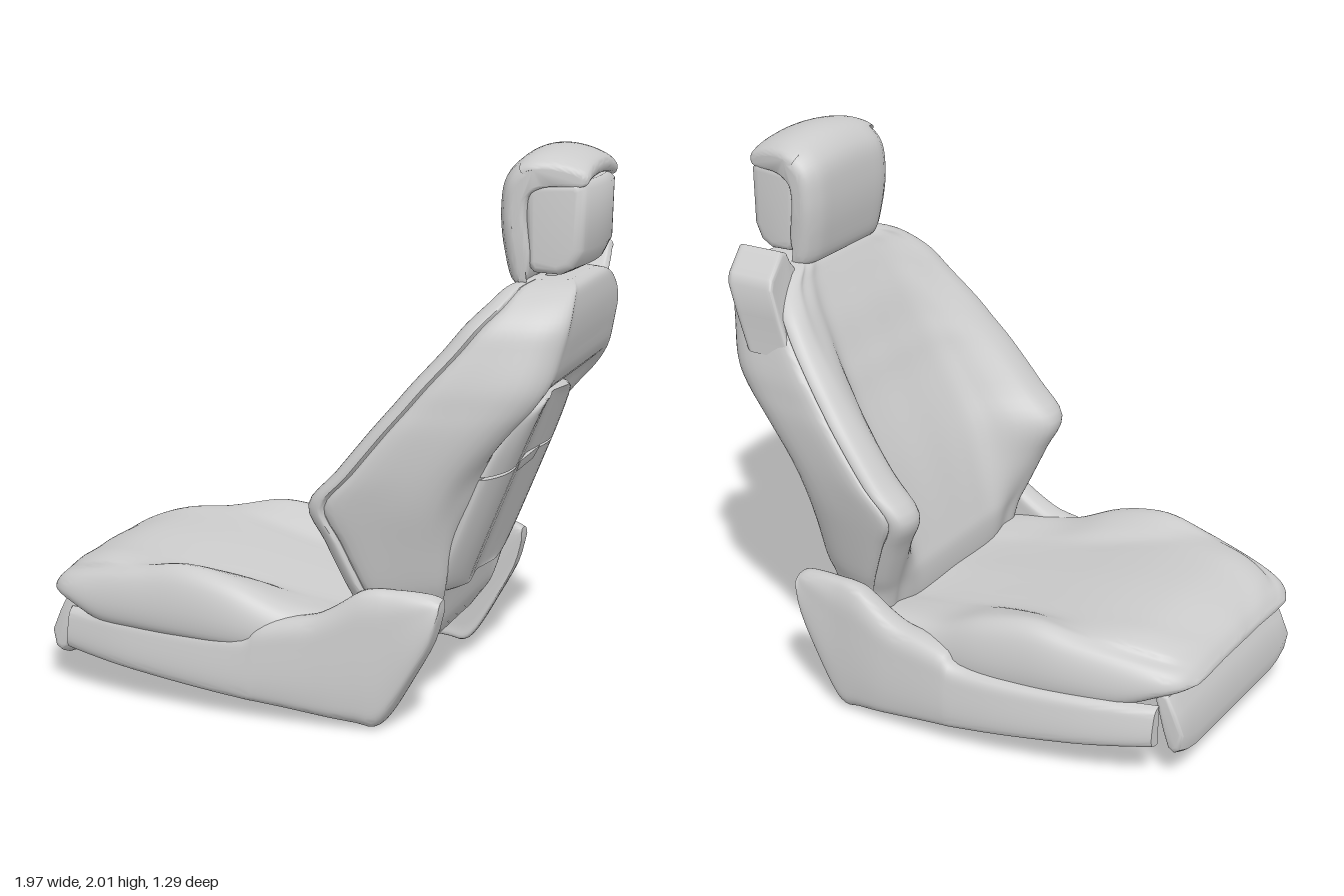
import * as THREE from 'three';
import { toCreasedNormals } from 'three/addons/utils/BufferGeometryUtils.js';

const material = new THREE.MeshStandardMaterial({ color: 0xcccccc, roughness: 0.8 });
const V = (x, y, z) => new THREE.Vector3(x, y, z);
const CENTRE = 0.02; // upholstery sits slightly towards the left

function mesh(name, geometry, crease = 0.7) {
  const m = new THREE.Mesh(toCreasedNormals(geometry, crease), material);
  m.name = name;
  return m;
}

// Cubic interpolation between rows of section measurements
function refine(rows, steps) {
  const out = [];
  const at = (i) => rows[Math.min(Math.max(i, 0), rows.length - 1)];
  for (let i = 0; i < rows.length - 1; i++) {
    for (let s = 0; s < steps; s++) {
      const t = s / steps;
      out.push(at(i).map((b, k) => {
        const a = at(i - 1)[k], c = at(i + 1)[k], d = at(i + 2)[k];
        return b + 0.5 * t * (c - a + t * (2 * a - 5 * b + 4 * c - d + t * (3 * (b - c) + d - a)));
      }));
    }
  }
  out.push(rows[rows.length - 1]);
  return out;
}

// Closed skin through smooth rings, with capped ends and outward faces
function loft(rows, steps, section, detail) {
  const rings = refine(rows, steps).map((row) =>
    new THREE.CatmullRomCurve3(section(row), true).getPoints(detail).slice(0, detail));
  const points = rings.flat();
  const index = [];
  for (let i = 0; i < rings.length - 1; i++) {
    for (let j = 0; j < detail; j++) {
      const a = i * detail + j, b = i * detail + (j + 1) % detail;
      index.push(a, b, a + detail, b, b + detail, a + detail);
    }
  }
  [0, rings.length - 1].forEach((r, end) => {
    const c = points.length;
    points.push(rings[r].reduce((sum, p) => sum.add(p), V(0, 0, 0)).divideScalar(detail));
    for (let j = 0; j < detail; j++) {
      const a = r * detail + j, b = r * detail + (j + 1) % detail;
      if (end) index.push(a, b, c);
      else index.push(b, a, c);
    }
  });
  let volume = 0;
  for (let i = 0; i < index.length; i += 3) {
    volume += points[index[i]].dot(V(0, 0, 0).crossVectors(points[index[i + 1]], points[index[i + 2]]));
  }
  if (volume < 0) index.reverse();
  const g = new THREE.BufferGeometry().setFromPoints(points);
  g.setIndex(index);
  return g;
}

// Half outline (centre to centre) completed by its mirror image in z
const mirrored = (half) => half.concat(
  half.slice(1, -1).reverse().map((p) => V(p.x, p.y, -p.z)));

// Bevelled slab from an outline, centred on z = 0
function slab(outline, width, bevel) {
  const shape = new THREE.Shape(outline.map(([x, y]) => new THREE.Vector2(x, y)));
  const g = new THREE.ExtrudeGeometry(shape, {
    depth: width - 2 * bevel, steps: 14, bevelThickness: bevel, bevelSize: bevel,
    bevelOffset: -bevel, bevelSegments: 5,
  });
  return g.translate(0, 0, bevel - width / 2);
}

function bend(g, rule) {
  const p = g.attributes.position;
  for (let i = 0; i < p.count; i++) {
    const v = rule(V(p.getX(i), p.getY(i), p.getZ(i)));
    p.setXYZ(i, v.x, v.y, v.z);
  }
  return g;
}

function cushion() {
  // x, centre top, bolster top, inner seam, half width, underside
  const rows = [
    [-0.985, 0.36, 0.355, 0.20, 0.34, 0.335], [-0.95, 0.405, 0.39, 0.25, 0.405, 0.32],
    [-0.88, 0.445, 0.415, 0.33, 0.455, 0.295], [-0.75, 0.478, 0.445, 0.38, 0.50, 0.245],
    [-0.58, 0.475, 0.475, 0.40, 0.54, 0.235], [-0.4, 0.45, 0.503, 0.37, 0.565, 0.225],
    [-0.2, 0.41, 0.465, 0.33, 0.575, 0.22], [0, 0.37, 0.385, 0.31, 0.55, 0.22],
    [0.2, 0.335, 0.36, 0.29, 0.52, 0.22], [0.4, 0.315, 0.33, 0.29, 0.48, 0.22],
  ];
  return loft(rows, 5, ([x, c, b, zi, w, u]) => {
    const h = b - u;
    return mirrored([
      V(x, u + 0.3 * h, 0), V(x, u + 0.3 * h, w - 0.14), V(x, u + 0.02 * h, w - 0.06),
      V(x, u + 0.12 * h, w + 0.015), V(x, u + 0.3 * h, w + 0.03), V(x, b - 0.35 * h, w + 0.02),
      V(x, b - 0.1 * h, w - 0.01), V(x, b, w - 0.055), V(x, (b + c) / 2, zi + 0.05),
      V(x, c, zi - 0.02), V(x, c, zi - 0.14), V(x, c + 0.005, 0),
    ]);
  }, 84);
}

function backrest() {
  // y, centre front, wing front, shell rear, centre rear, half width
  const rows = [
    [0.22, 0.28, 0.29, 0.42, 0.43, 0.44], [0.30, 0.24, 0.25, 0.48, 0.48, 0.48],
    [0.42, 0.23, 0.22, 0.52, 0.51, 0.50], [0.50, 0.25, 0.19, 0.54, 0.53, 0.53],
    [0.65, 0.30, 0.13, 0.56, 0.57, 0.57], [0.78, 0.35, 0.08, 0.59, 0.63, 0.60],
    [0.90, 0.405, 0.18, 0.65, 0.675, 0.605], [1.05, 0.48, 0.30, 0.77, 0.74, 0.59],
    [1.14, 0.52, 0.375, 0.85, 0.80, 0.57], [1.22, 0.56, 0.44, 0.90, 0.90, 0.55],
    [1.33, 0.61, 0.535, 0.93, 0.935, 0.51], [1.42, 0.66, 0.605, 0.95, 0.95, 0.47],
    [1.49, 0.70, 0.67, 0.95, 0.95, 0.40], [1.535, 0.73, 0.71, 0.94, 0.94, 0.31],
    [1.555, 0.77, 0.76, 0.91, 0.91, 0.21],
  ];
  return loft(rows, 4, ([y, f, g, s, r, w]) => {
    const k = w / 0.6, d = Math.min(1, (s - g) / 0.3);
    return mirrored([
      V(f, y, 0), V(f, y, 0.18 * k), V(f * 0.9 + g * 0.1, y, w - 0.3 * k),
      V(f * 0.4 + g * 0.6, y, w - 0.21 * k), V(g + 0.01 * d, y, w - 0.13 * k),
      V(g, y, w - 0.07 * k), V(g + 0.02 * d, y, w - 0.015 * k), V(g + 0.06 * d, y, w),
      V(g + 0.072 * d, y, w - 0.018), V(g + 0.085 * d, y, w - 0.005),
      V((g + s) / 2, y, w - 0.02 * k), V(s - 0.06 * d, y, w - 0.065 * k),
      V(s, y, w - 0.13 * k), V(r, y, w - 0.2 * k), V(r, y, 0.2 * k), V(r, y, 0),
    ]);
  }, 120);
}

function sideTrim(side) {
  // x, bottom, top, outer z
  const rows = [
    [-0.89, 0.13, 0.28, 0.505], [-0.75, 0.115, 0.285, 0.552], [-0.6, 0.10, 0.285, 0.59],
    [-0.35, 0.075, 0.285, 0.628], [-0.15, 0.055, 0.295, 0.645], [-0.1, 0.05, 0.33, 0.646],
    [0, 0.04, 0.355, 0.645], [0.1, 0.028, 0.375, 0.643], [0.18, 0.018, 0.415, 0.64],
    [0.27, 0.008, 0.475, 0.632], [0.33, 0.0, 0.49, 0.626], [0.38, 0.045, 0.49, 0.62],
    [0.46, 0.18, 0.488, 0.61], [0.53, 0.31, 0.48, 0.595], [0.56, 0.42, 0.465, 0.58],
  ];
  return loft(rows, 3, ([x, b, t, z]) => {
    const h = t - b, i = Math.min(0.5, z - 0.05);
    return [
      [b, i], [b, z - 0.04], [b + 0.05 * h, z - 0.01], [b + 0.2 * h, z],
      [t - 0.35 * h, z - 0.01], [t - 0.1 * h, z - 0.025], [t, z - 0.055],
      [t - 0.03 * h, i + 0.01], [t - 0.2 * h, i], [b + 0.1 * h, i],
    ].map(([y, zz]) => V(x, y, zz * side));
  }, 48);
}

// Storage panel on the rear slope, hollowed in the middle; rows of y, half width
function rearPanel(rows) {
  return loft(rows, 3, ([y, h]) => {
    const x = 0.55 + 0.4 * (y - 0.48);
    return mirrored([
      V(x - 0.06, y, 0), V(x - 0.06, y, h - 0.04), V(x - 0.06, y, h), V(x - 0.035, y, h),
      V(x + 0.005, y, h - 0.07), V(x + 0.022, y, 0.6 * h), V(x + 0.01, y, 0.25 * h), V(x, y, 0),
    ]);
  }, 64);
}

function headrest() {
  const group = new THREE.Group();
  group.name = 'headrest';
  // Padded front that wraps over the top
  const outline = new THREE.CatmullRomCurve3([
    [0.71, 1.54], [0.675, 1.65], [0.662, 1.8], [0.68, 1.92], [0.74, 1.985], [0.82, 2.005],
    [0.92, 1.985], [0.972, 1.95], [0.965, 1.908], [0.83, 1.9], [0.78, 1.87], [0.765, 1.78],
    [0.78, 1.62], [0.755, 1.54],
  ].map(([x, y]) => V(x, y, 0)), true).getPoints(70).slice(0, 70).map((p) => [p.x, p.y]);
  const pad = bend(slab(outline, 0.53, 0.02), (v) => {
    const taper = 1 - 0.9 * Math.max(0, v.x - 0.78) - 0.25 * Math.max(0, 1.75 - v.y);
    const crown = Math.max(0, v.y - 1.75) / 0.25;
    const edge = Math.max(0, Math.abs(v.z) - 0.18);
    return V(v.x + (v.x < 0.74 ? 5 * edge * edge : 0), v.y - (0.5 * v.z * v.z + 2 * edge * edge) * crown, v.z * taper);
  });
  group.add(mesh('headrestPad', pad, 0.9));
  // Hard cover behind it
  const block = bend(slab([
    [0.755, 1.85], [0.77, 1.885], [0.96, 1.895], [0.985, 1.87], [0.98, 1.66], [0.95, 1.60],
    [0.9, 1.575], [0.79, 1.58], [0.765, 1.61],
  ], 0.49, 0.03), (v) =>
    V(v.x - (v.x > 0.85 ? 0.4 * v.z * v.z : 0), v.y, v.z * (1 - 0.5 * Math.max(0, v.x - 0.85))));
  group.add(mesh('headrestRearCover', block, 0.9));
  for (const z of [-0.1, 0.1]) {
    const post = mesh('headrestPost', new THREE.CylinderGeometry(0.02, 0.02, 0.2, 20));
    post.position.set(0.82, 1.57, z);
    group.add(post);
  }
  return group;
}

export function createModel() {
  const model = new THREE.Group();
  model.name = 'carSeat';
  const body = new THREE.Group();
  body.name = 'upholsteredBody';
  body.position.z = CENTRE;
  model.add(body);
  body.add(mesh('seatCushion', cushion(), 0.9), mesh('backrest', backrest(), 0.8), headrest());

  // Rear storage pocket with a pull tab, and the panel above it
  body.add(mesh('rearPocket', rearPanel([
    [0.44, 0.3], [0.455, 0.37], [0.5, 0.405], [0.6, 0.42], [0.75, 0.425], [0.882, 0.425],
  ])), mesh('rearUpperPanel', rearPanel([
    [0.892, 0.425], [0.98, 0.41], [1.06, 0.375], [1.1, 0.33], [1.125, 0.24],
  ])));
  const tab = slab([[-0.14, 0.892], [-0.1, 0.845], [0.1, 0.845], [0.14, 0.892]], 0.03, 0.006);
  bend(tab.rotateY(Math.PI / 2), (v) => V(v.x + 0.55 + 0.4 * (v.y - 0.48), v.y, v.z));
  body.add(mesh('pocketTab', tab));

  // Hinged flap under the front of the cushion
  const flap = slab([
    [-0.918, 0.315], [-0.88, 0.328], [-0.865, 0.31], [-0.9, 0.18], [-0.922, 0.078], [-0.945, 0.064],
    [-0.968, 0.08], [-0.98, 0.14], [-0.95, 0.25],
  ], 0.89, 0.014);
  bend(flap, (v) => {
    const corner = Math.max(0, Math.abs(v.z) - 0.3);
    return V(v.x, v.y + (v.y < 0.15 ? 2 * corner * corner : 0), v.z);
  });
  model.add(mesh('frontFlap', flap));

  // Belt guide on the right shoulder
  const guide = slab([
    [0.16, 1.47], [0.26, 1.54], [0.29, 1.575], [0.31, 1.612], [0.34, 1.625], [0.47, 1.565],
    [0.492, 1.53], [0.485, 1.42], [0.49, 1.28], [0.42, 1.25], [0.3, 1.38],
  ], 0.2, 0.02).rotateY(Math.PI / 2);
  bend(guide, (v) => V(v.x + 0.83 + 0.35 * Math.min(0, v.y - 1.5) - 0.5 * Math.max(0, -v.z - 0.38), v.y, v.z));
  model.add(mesh('beltGuide', guide));

  // Side trims and the curved brackets beneath
  for (const side of [1, -1]) {
    model.add(mesh(side > 0 ? 'leftSideTrim' : 'rightSideTrim', sideTrim(side), 0.8));
    const path = new THREE.CatmullRomCurve3(
      [V(0.2, 0.11, 0.51 * side), V(0.15, 0.14, 0.45 * side), V(0.05, 0.155, 0.34 * side), V(-0.1, 0.26, 0.33 * side)]);
    model.add(mesh('underBracket', new THREE.TubeGeometry(path, 16, 0.014, 8)));
  }
  return model;
}
